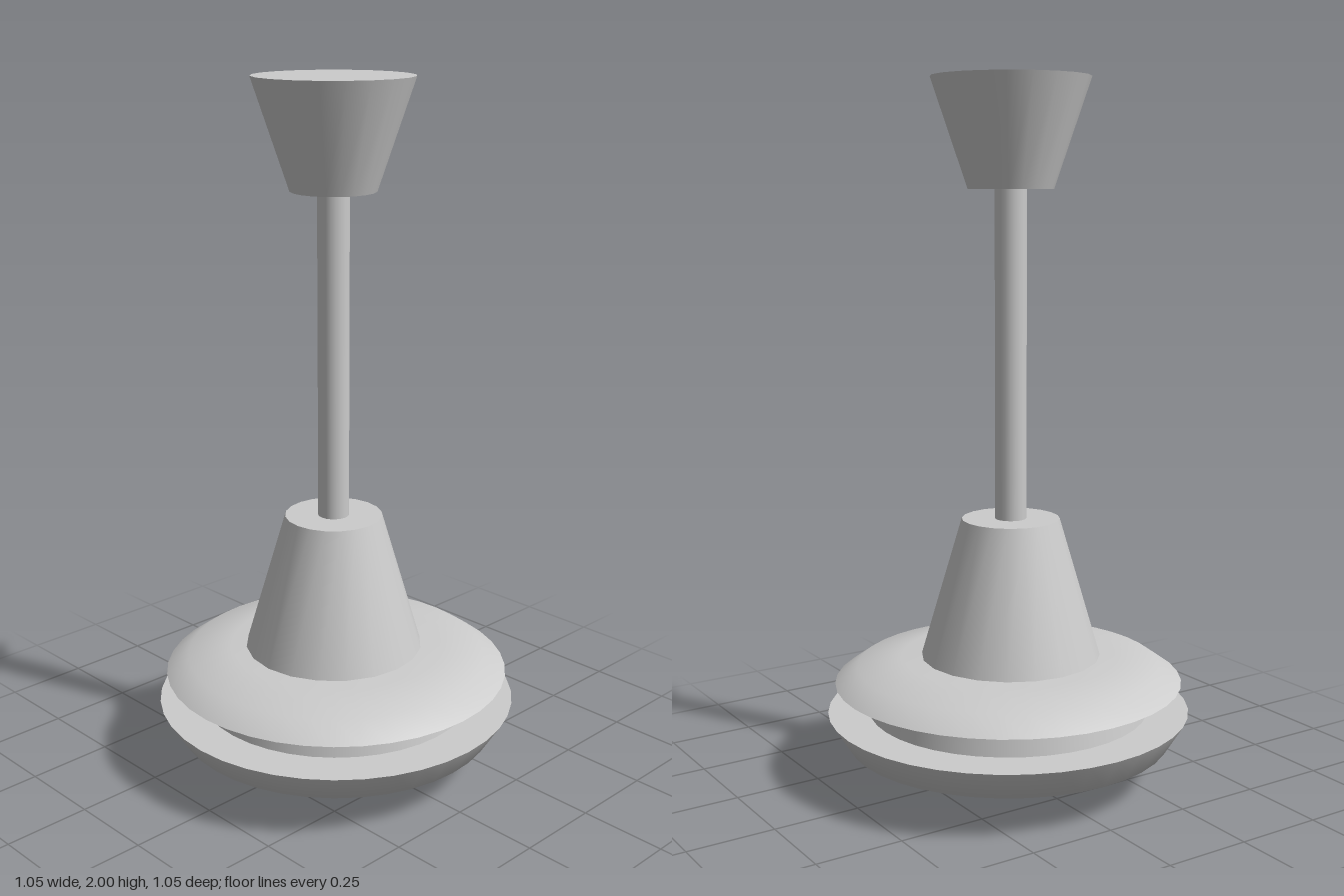
import * as THREE from 'three';

const material = new THREE.MeshStandardMaterial({ color: 0xcccccc });

export function createModel() {
  const model = new THREE.Group();
  model.name = 'ceilingPendant';

  function add(parent, name, geometry, y = 0) {
    const mesh = new THREE.Mesh(geometry, material);
    mesh.name = name;
    mesh.position.y = y;
    parent.add(mesh);
  }

  // Tapered round part standing between two heights
  function taper(parent, name, rTop, rBottom, y0, y1, sides) {
    add(parent, name, new THREE.CylinderGeometry(rTop, rBottom, y1 - y0, sides), (y0 + y1) / 2);
  }

  // Smooth turned surface; profile runs from bottom to top
  function turned(parent, name, profile, sides = 40) {
    const points = profile.map(([r, y]) => new THREE.Vector2(r, y));
    add(parent, name, new THREE.LatheGeometry(points, sides));
  }

  // Hanging stem, set very slightly off the lamp axis
  const stem = new THREE.Group();
  stem.name = 'stem';
  stem.position.set(-0.004, 0, 0.006);
  model.add(stem);
  taper(stem, 'ceilingCanopy', 0.223, 0.12, 1.695, 2, 20);
  taper(stem, 'rod', 0.045, 0.045, 0.74, 1.72, 20);
  taper(stem, 'housing', 0.141, 0.262, 0.35, 0.763, 20);

  // Shallow upper dome with a flat closed underside
  const dome = new THREE.Group();
  dome.name = 'upperDome';
  model.add(dome);
  turned(dome, 'domeShell', [[0.503, 0.287], [0.438, 0.333], [0.31, 0.358], [0, 0.362]]);
  turned(dome, 'domeUnderside', [[0, 0.287], [0.503, 0.287]]);

  // Recessed band between dome and bowl
  taper(model, 'neckBand', 0.39, 0.408, 0.19, 0.295, 40);

  // Lower bowl with a flat closed top
  const bowl = new THREE.Group();
  bowl.name = 'lowerBowl';
  model.add(bowl);
  turned(bowl, 'bowlShell', [[0, 0], [0.06, 0.003], [0.15, 0.016], [0.31, 0.052], [0.47, 0.112], [0.525, 0.2]]);
  turned(bowl, 'bowlTop', [[0.525, 0.2], [0, 0.2]]);

  return model;
}
